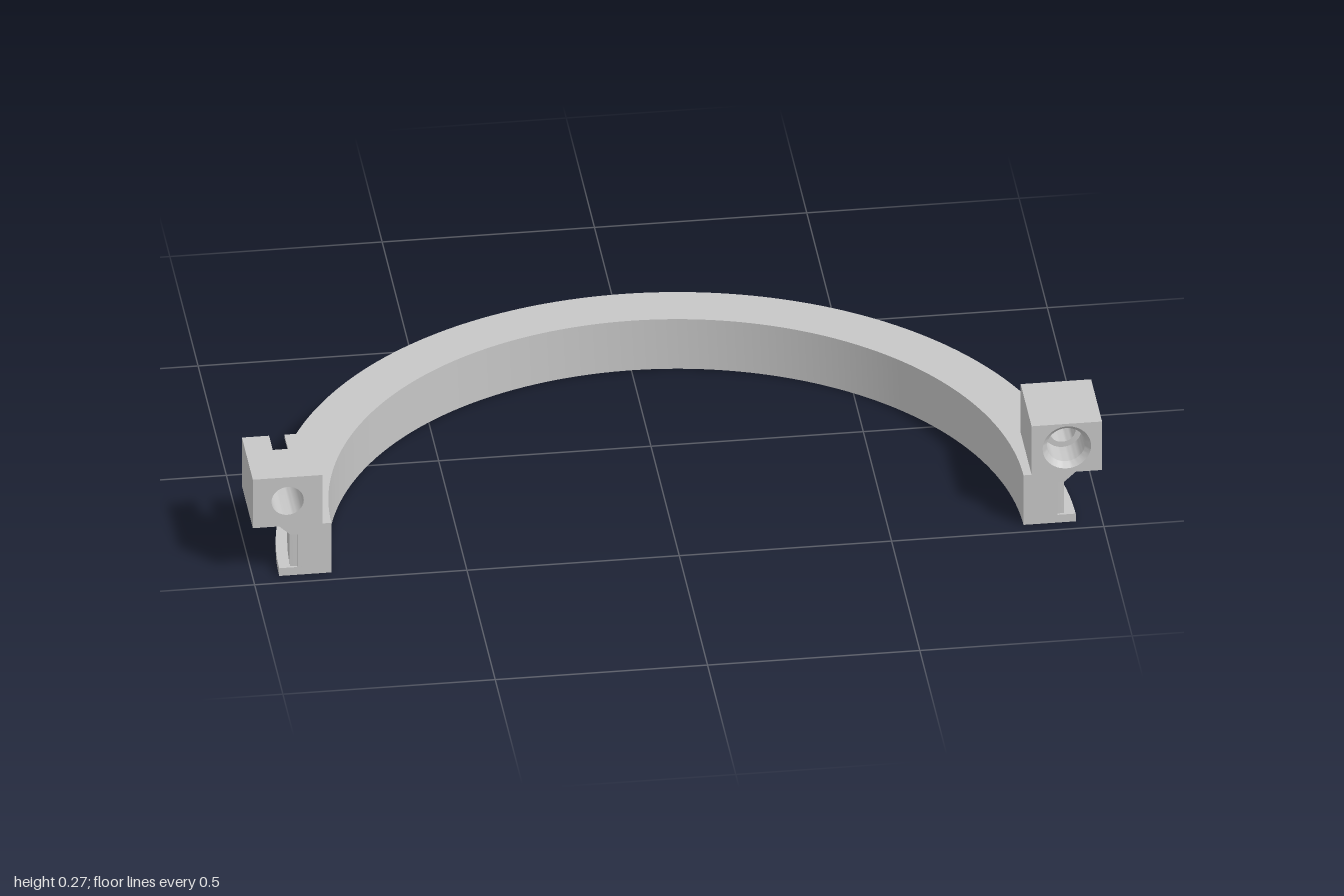
import * as THREE from 'three';
import { toCreasedNormals } from 'three/addons/utils/BufferGeometryUtils.js';

export function createModel() {
  const model = new THREE.Group();
  const grey = new THREE.MeshStandardMaterial({ color: 0xc6c6c6, side: THREE.DoubleSide });
  grey.name = 'light grey';
  const Z = 0.468; // centre of the arc and front plane
  const TOP = 0.135, ROOT = 0.895, TIP = 0.911, OUTER = 0.938, INNER = 0.815;

  function add(name, geometry, x = 0, y = 0, z = 0, parent = model) {
    const mesh = new THREE.Mesh(toCreasedNormals(geometry, 0.5), grey);
    mesh.name = name;
    mesh.position.set(x, y, z);
    parent.add(mesh);
    return mesh;
  }
  const extrude = (shape, depth) =>
    new THREE.ExtrudeGeometry(shape, { depth, bevelEnabled: false, curveSegments: 24 });

  // Half ring with a flat lower flange and a bevelled upper flange
  const profile = [
    [INNER, 0], [OUTER, 0], [OUTER, 0.021], [ROOT, 0.021],
    [ROOT, 0.11], [TIP, 0.11], [OUTER, TOP], [INNER, TOP],
  ].map(([r, y]) => new THREE.Vector2(r, y));
  add('halfRing', new THREE.LatheGeometry([...profile, profile[0]], 128, Math.PI / 2, Math.PI), 0, 0, Z);
  for (const side of [-1, 1]) {
    const cap = new THREE.Shape(profile.map(p => new THREE.Vector2(p.x * side, p.y)));
    add(side < 0 ? 'rightEndCap' : 'leftEndCap', new THREE.ShapeGeometry(cap), 0, 0, Z);
  }

  // Belt teeth around the outside, between the flanges
  const TEETH = 92, step = Math.PI / TEETH;
  const outline = [];
  const polar = (r, a) => outline.push(new THREE.Vector2(r * Math.cos(a), r * Math.sin(a)));
  for (let i = 0; i < TEETH; i++) {
    for (const [r, t] of [[ROOT, 0.19], [TIP, 0.23], [TIP, 0.77], [ROOT, 0.81]]) polar(r, (i + t) * step);
  }
  polar(ROOT, Math.PI);
  for (let i = 48; i >= 0; i--) polar(ROOT - 0.012, i * Math.PI / 48);
  polar(ROOT, 0);
  const teeth = extrude(new THREE.Shape(outline), 0.09);
  teeth.rotateX(-Math.PI / 2);
  add('beltTeeth', teeth, 0, 0.0205, Z);

  // Block slabs are drawn around the bolt axis
  const AXIS_Y = 0.203, LOW = TOP - AXIS_Y, HIGH = 0.267 - AXIS_Y, BACK = 0.275;
  function slab(x0, x1, radius) {
    const s = new THREE.Shape();
    s.moveTo(x0, LOW).lineTo(x1, LOW).lineTo(x1, HIGH).lineTo(x0, HIGH).closePath();
    s.holes.push(new THREE.Path().absarc(0, 0, radius, 0, Math.PI * 2, true));
    return s;
  }

  // Right block: bolt hole in front, slotted round pocket behind
  const right = new THREE.Group();
  right.name = 'rightClampBlock';
  right.position.set(-0.918, AXIS_Y, 0);
  model.add(right);
  add('rightBlockFront', extrude(slab(-0.082, 0.082, 0.038), Z - 0.34), 0, 0, 0.34, right);
  const R = 0.059, half = 0.018, bite = Math.acos(half / R);
  for (const side of [-1, 1]) {
    const jaw = new THREE.Shape();
    jaw.moveTo(side * half, LOW).lineTo(side * 0.082, LOW).lineTo(side * 0.082, HIGH).lineTo(side * half, HIGH);
    for (let i = 0; i <= 16; i++) {
      const a = bite - 2 * bite * i / 16;
      jaw.lineTo(side * R * Math.cos(a), R * Math.sin(a));
    }
    jaw.closePath();
    add('slotJaw', extrude(jaw, 0.34 - BACK), 0, 0, BACK, right);
  }

  // Left block: through hole, counterbore and bevelled mouth
  const left = new THREE.Group();
  left.name = 'leftClampBlock';
  left.position.set(0.917, AXIS_Y, 0);
  model.add(left);
  const layers = [['boltHole', 0.031, BACK, 0.39], ['counterbore', 0.045, 0.39, 0.455], ['mouth', 0.057, 0.455, Z]];
  for (const [name, radius, z0, z1] of layers)
    add(name + 'Slab', extrude(slab(-0.083, 0.083, radius), z1 - z0), 0, 0, z0, left);
  const bevel = new THREE.CylinderGeometry(0.057, 0.045, Z - 0.455, 48, 1, true);
  bevel.rotateX(Math.PI / 2);
  add('mouthBevel', bevel, 0, 0, (Z + 0.455) / 2, left);

  return model;
}
